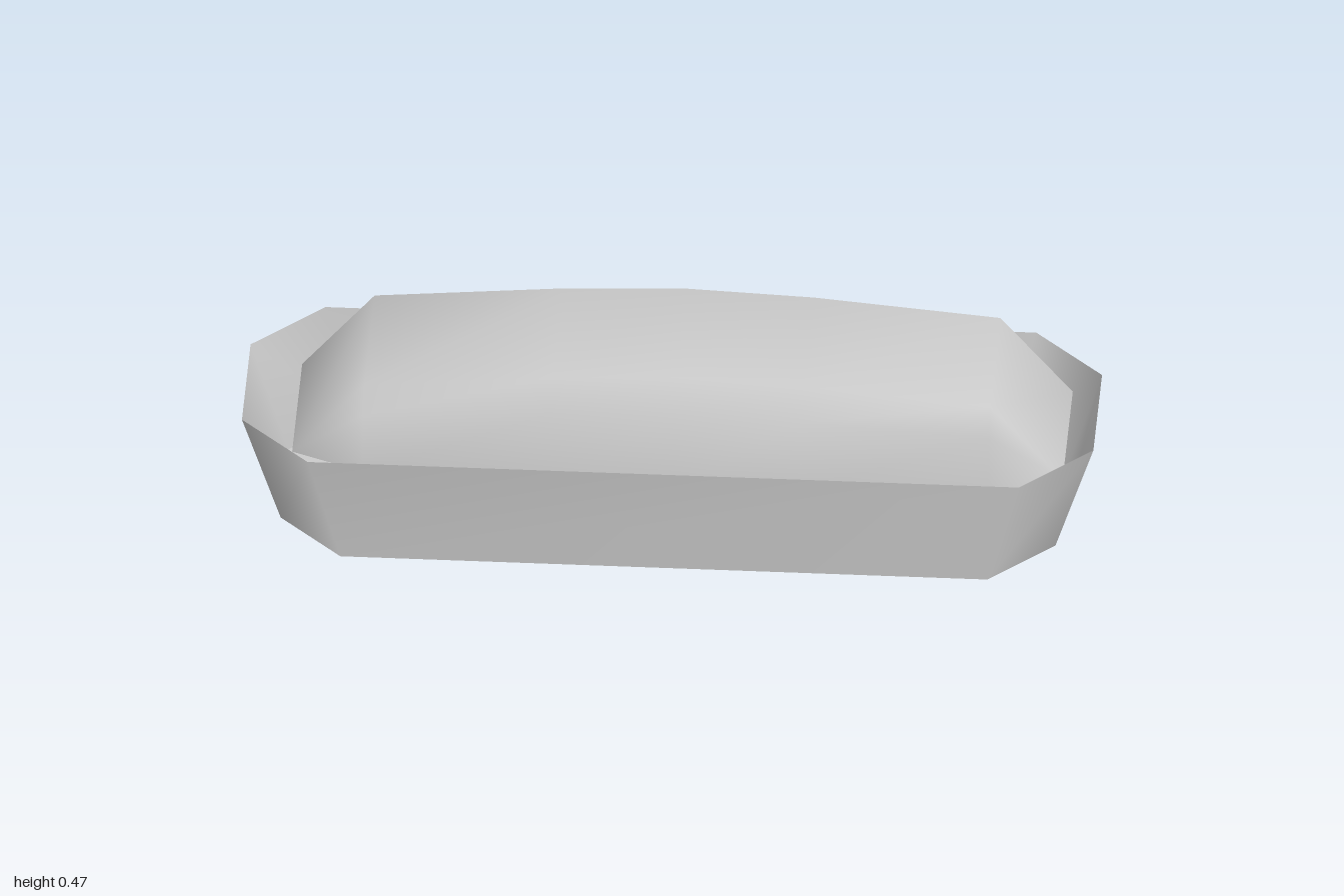
import * as THREE from 'three';
import { mergeVertices } from 'three/addons/utils/BufferGeometryUtils.js';

// Skin a list of cross-sections (arrays of [x, y, z]) with smooth normals.
function loft(sections, closed = false) {
  const n = sections[0].length;
  const index = [];
  for (let i = 0; i < sections.length - 1; i++) {
    for (let j = 0; j < (closed ? n : n - 1); j++) {
      const k = (j + 1) % n;
      const a = i * n + j, b = a + n, c = (i + 1) * n + k, d = i * n + k;
      index.push(a, b, c, a, c, d);
    }
  }
  let geo = new THREE.BufferGeometry();
  geo.setAttribute('position', new THREE.Float32BufferAttribute(sections.flat(2), 3));
  geo.setIndex(index);
  geo = mergeVertices(geo);
  geo.computeVertexNormals();
  return geo;
}

// Rectangle with cut corners, lying flat at height y.
function octagon(y, x, z, cornerX, cornerZ) {
  return [
    [x, y, cornerZ], [cornerX, y, z], [-cornerX, y, z], [-x, y, cornerZ],
    [-x, y, -cornerZ], [-cornerX, y, -z], [cornerX, y, -z], [x, y, -cornerZ],
  ];
}

export function createModel() {
  const group = new THREE.Group();
  const solid = new THREE.MeshStandardMaterial({ color: 0xcccccc });
  const thin = new THREE.MeshStandardMaterial({ color: 0xcccccc, side: THREE.DoubleSide });
  const add = (name, geo, material, parent = group) => {
    const mesh = new THREE.Mesh(geo, material);
    mesh.name = name;
    parent.add(mesh);
    return mesh;
  };

  // Open tray with flared thin walls
  const base = octagon(0, 0.91, 0.296, 0.76, 0.143);
  const rim = octagon(0.283, 1, 0.325, 0.835, 0.158);
  add('trayWall', loft([rim, base], true), thin);

  // Tray floor
  const floorShape = new THREE.Shape(base.map(([x, , z]) => new THREE.Vector2(x, z)));
  add('trayFloor', new THREE.ShapeGeometry(floorShape).rotateX(Math.PI / 2), thin);

  // Loaf: arched stations [x, topY, topZ, shoulderY, shoulderZ, sideZ]
  const low = 0.22;
  const half = [
    [0, 0.47, 0.187, 0.405, 0.253, 0.275],
    [0.295, 0.458, 0.187, 0.398, 0.251, 0.271],
    [0.735, 0.419, 0.187, 0.368, 0.24, 0.257],
    [0.905, low, 0.184, low, 0.184, 0.184],
  ];
  const stations = [
    ...half.slice(1).reverse().map(([x, ...rest]) => [-x, ...rest]),
    ...half,
  ];
  const loaf = new THREE.Group();
  loaf.name = 'loaf';
  loaf.position.set(0.025, 0, 0.007);
  group.add(loaf);
  add('loafCrust', loft(stations.map(([x, topY, topZ, midY, midZ, sideZ]) => [
    [x, low, sideZ], [x, midY, midZ], [x, topY, topZ],
    [x, topY, -topZ], [x, midY, -midZ], [x, low, -sideZ],
  ])), solid, loaf);

  // Flat underside of the loaf
  add('loafUnderside', loft(stations.map(([x, , , , , z]) => [
    [x, low, -z], [x, low, z],
  ])), solid, loaf);

  return group;
}
